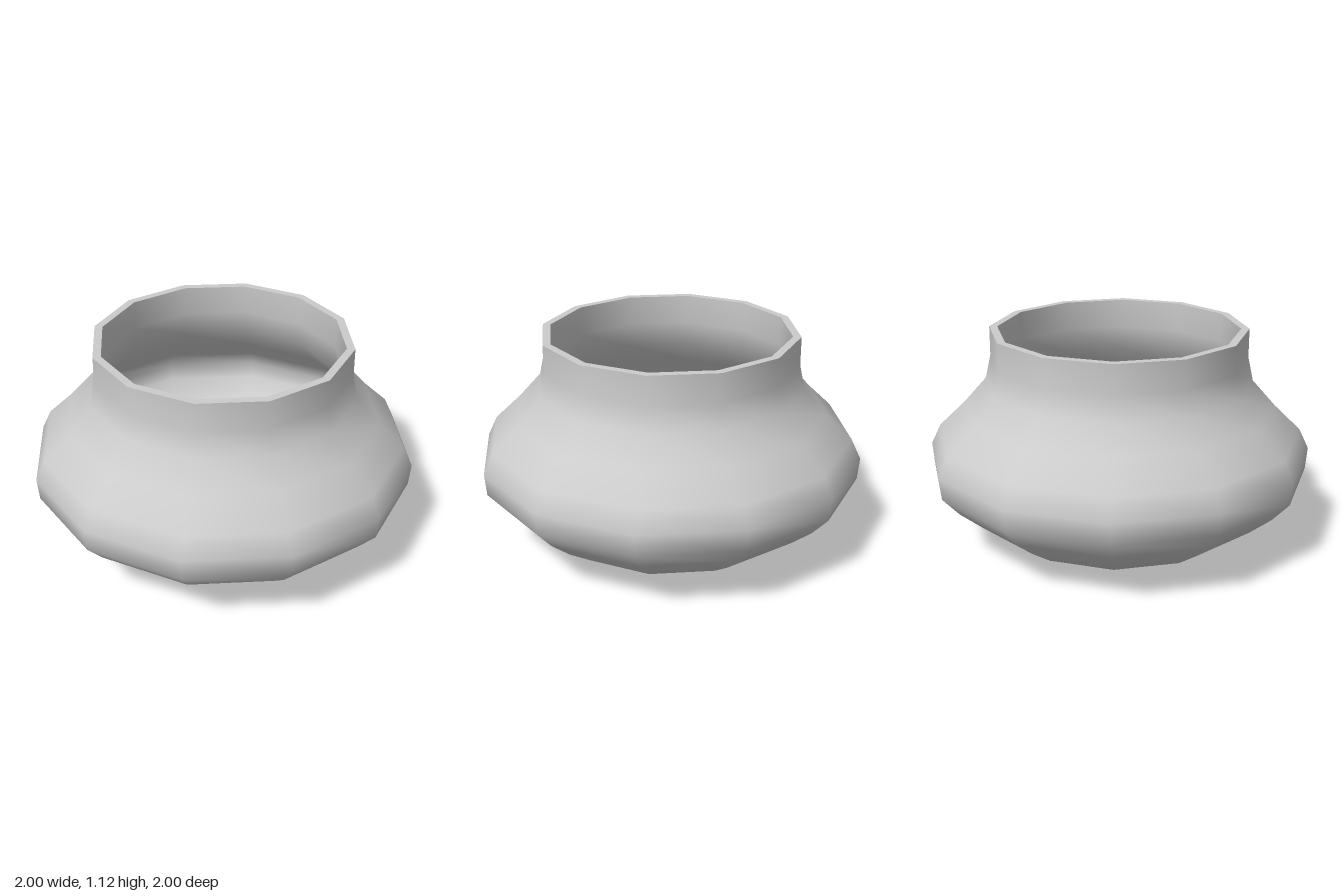
import * as THREE from 'three';

const SIDES = 12;

export function createModel() {
  const group = new THREE.Group();
  group.name = 'pot';
  const material = new THREE.MeshStandardMaterial({ color: 0xcccccc });

  // Each section is its own lathe, so the rim edges stay sharp
  const addLathe = (name, profile) => {
    const points = profile.map(([r, y]) => new THREE.Vector2(r, y));
    const mesh = new THREE.Mesh(new THREE.LatheGeometry(points, SIDES), material);
    mesh.name = name;
    group.add(mesh);
  };

  // Base, belly, shoulder and neck, from the bottom up
  const outer = [
    [0, 0], [0.48, 0], [0.64, 0.065], [0.78, 0.16], [0.9, 0.26], [0.99, 0.36],
    [1, 0.475], [0.95, 0.58], [0.815, 0.71], [0.695, 0.845], [0.667, 0.97], [0.667, 1.12],
  ];

  // Inside of the wall, from the mouth down to the floor
  const inner = [
    [0.625, 1.12], [0.625, 0.965], [0.655, 0.825], [0.785, 0.68], [0.915, 0.555],
    [0.958, 0.47], [0.95, 0.38], [0.87, 0.29], [0.755, 0.195], [0.62, 0.105], [0.47, 0.04], [0, 0.04],
  ];

  addLathe('outerWall', outer);
  addLathe('rim', [outer[outer.length - 1], inner[0]]);
  addLathe('innerWall', inner);

  return group;
}
